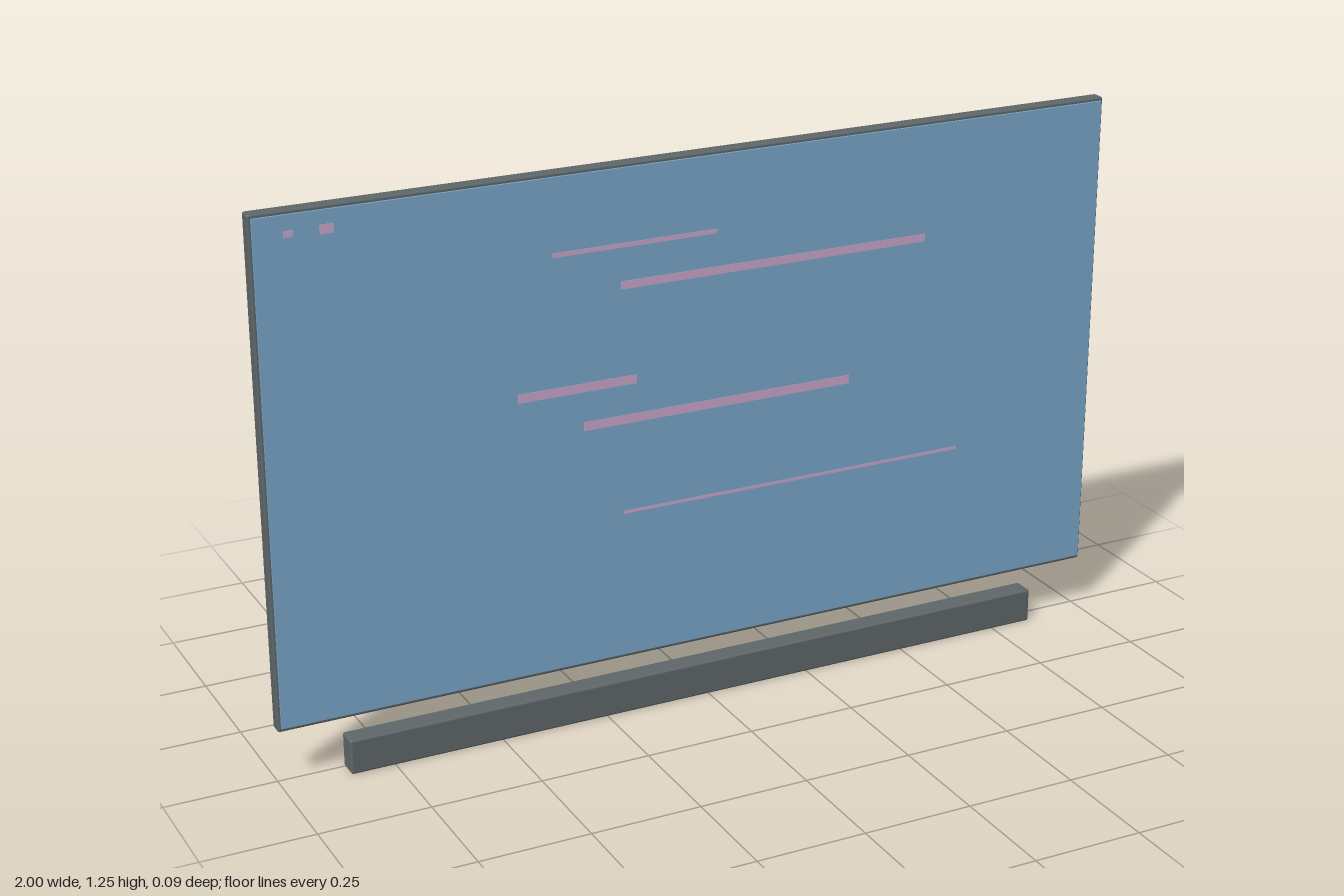
import * as THREE from 'three';
import { RoundedBoxGeometry } from 'three/addons/geometries/RoundedBoxGeometry.js';

const material = (name, color) => {
  const m = new THREE.MeshStandardMaterial({ color });
  m.name = name;
  return m;
};

export function createModel() {
  const group = new THREE.Group();
  group.name = 'wallTelevision';
  const casing = material('charcoalGrey', 0x5f6768);
  const glass = material('screenBlue', 0x78a5c8);
  const pink = material('linePink', 0xc8a5c8);

  // Place a geometry as a named mesh
  const add = (name, geometry, mat, x, y, z) => {
    const mesh = new THREE.Mesh(geometry, mat);
    mesh.name = name;
    mesh.position.set(x, y, z);
    group.add(mesh);
  };

  // Softly rounded casing slab from y and z limits
  const slab = (name, width, y0, y1, z0, z1) => add(
    name, new RoundedBoxGeometry(width, y1 - y0, z1 - z0, 2, 0.005),
    casing, 0, (y0 + y1) / 2, (z0 + z1) / 2);

  slab('displayHousing', 2, 0.125, 1.255, -0.0085, 0.0235);
  slab('wallMount', 0.8, 0.422, 0.955, -0.045, -0.0195);
  slab('soundbar', 1.7, 0, 0.08, -0.0045, 0.045);

  // Screen glass, leaving a narrow bezel
  add('screen', new THREE.BoxGeometry(1.986, 1.112, 0.006), glass, 0, 0.691, 0.026);

  // Thin marks on the screen: start x, end x, centre y, height
  [
    [-0.93, -0.91, 1.207, 0.014],
    [-0.855, -0.825, 1.207, 0.02],
    [-0.355, 0.025, 1.08, 0.01],
    [-0.2, 0.54, 0.992, 0.018],
    [-0.44, -0.165, 0.778, 0.02],
    [-0.29, 0.355, 0.69, 0.02],
    [-0.2, 0.64, 0.475, 0.007],
  ].forEach(([x0, x1, y, h], i) => add(
    `screenLine${i + 1}`, new THREE.BoxGeometry(x1 - x0, h, 0.002), pink, (x0 + x1) / 2, y, 0.029));

  return group;
}
